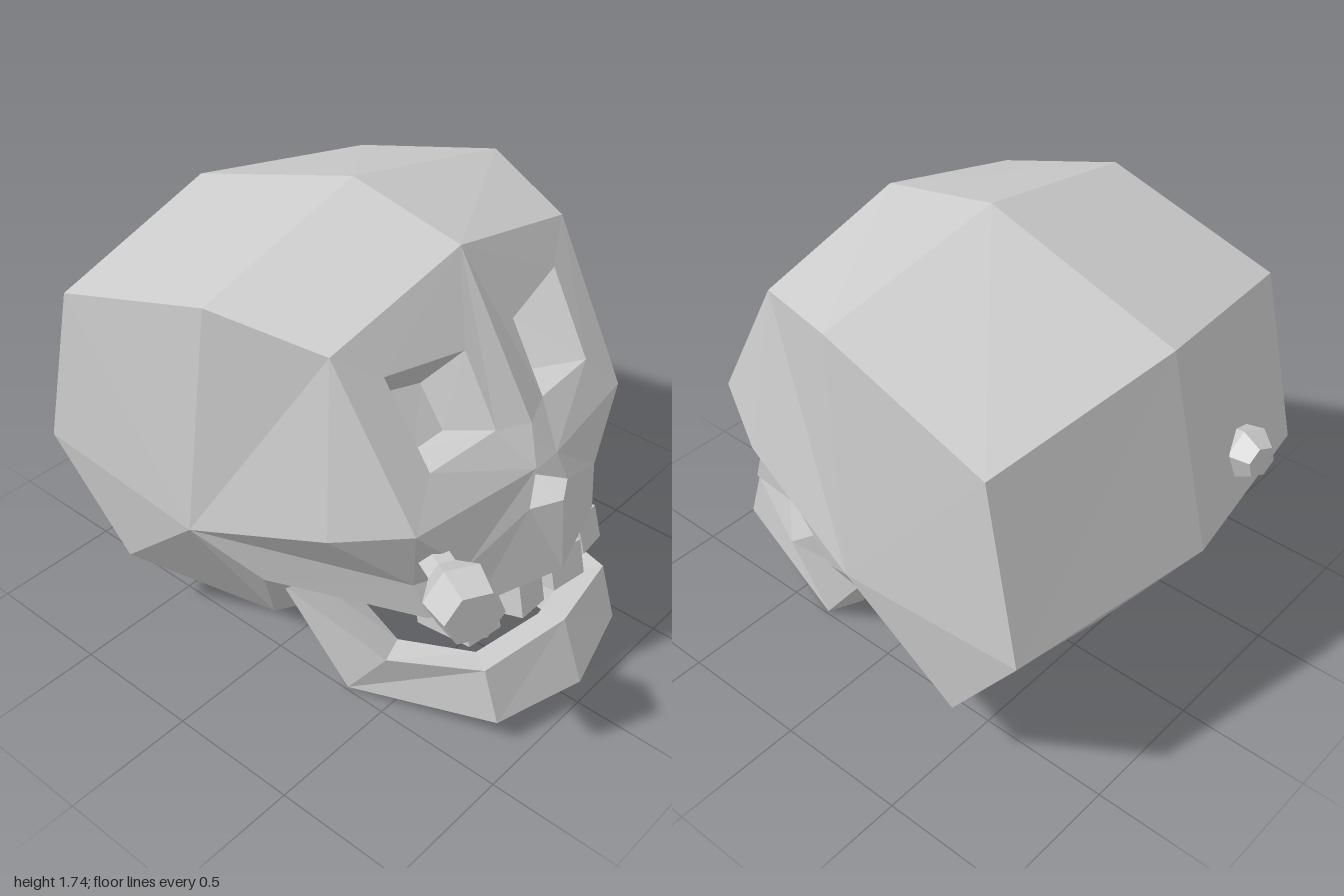
import * as THREE from 'three';

const bone = new THREE.MeshStandardMaterial({ color: 0xcccccc, flatShading: true });
bone.name = 'bone grey';

// Fans each polygon (left half) into triangles and adds its mirror image.
function mirrored(name, polygons) {
  const out = [];
  for (const p of polygons) {
    for (let i = 1; i < p.length - 1; i++) {
      const tri = [p[0], p[i], p[i + 1]];
      for (const v of tri) out.push(...v);
      for (const v of [tri[0], tri[2], tri[1]]) out.push(-v[0], v[1], v[2]);
    }
  }
  const g = new THREE.BufferGeometry();
  g.setAttribute('position', new THREE.Float32BufferAttribute(out, 3));
  g.computeVertexNormals();
  const m = new THREE.Mesh(g, bone);
  m.name = name;
  return m;
}

// Walls and floor of a socket between an opening and its inner loop.
function socket(open, inner) {
  const walls = open.map((p, i) => {
    const j = (i + 1) % open.length;
    return [p, open[j], inner[j], inner[i]];
  });
  return [...walls, inner];
}

function cranium() {
  // Centre line and side ring, from the brow over the top and back to the base
  const centre = [[0, 1.65, 0.39], [0, 1.74, -0.07], [0, 1.5, -0.82], [0, 0.78, -1], [0, 0.19, -0.6], [0, 0, -0.26]];
  const side = [[0.6, 1.51, 0.37], [0.737, 1.585, -0.03], [0.757, 1.38, -0.7], [0.78, 0.73, -0.85], [0.735, 0.295, -0.54], [0.38, 0, -0.15]];
  const brow = centre[0], browSide = side[0], base = centre[5], baseSide = side[5];
  const temple = [0.79, 0.685, -0.12], cheek = [0.69, 0.875, 0.43], cheekFront = [0.563, 0.96, 0.69];
  const cheekLow = [0.465, 0.645, 0.605], jawHinge = [0.66, 0.5, 0.1];
  // Upper jaw
  const lip = [0, 0.57, 0.88], lipSide = [0.34, 0.57, 0.77], lipUp = [0.365, 0.74, 0.745], lipBack = [0.425, 0.49, 0.64];
  const palate = [0, 0.375, 0.4], palateSide = [0.2, 0.375, 0.4];
  // Nose opening
  const noseTop = [0, 1.105, 0.71], noseMid = [0.057, 0.985, 0.78], noseSide = [0.108, 0.855, 0.8], noseBase = [0, 0.86, 0.86];
  const inTop = [0, 1.03, 0.66], inSide = [0.055, 0.85, 0.69], inBase = [0, 0.85, 0.69];
  // Eye opening: inner top, inner bottom, outer bottom, outer top
  const eye = [[0.127, 1.37, 0.52], [0.127, 1.12, 0.66], [0.427, 1.105, 0.63], [0.447, 1.4, 0.455]];
  const eyeIn = [[0.177, 1.205, 0.38], [0.177, 1.06, 0.48], [0.31, 1.05, 0.47], [0.32, 1.23, 0.35]];
  const [eIT, eIB, eOB, eOT] = eye;

  const faces = [
    // face
    [brow, eIT, eOT], [brow, eOT, browSide], [browSide, eOT, eOB, cheekFront], [brow, noseTop, eIB, eIT],
    [noseMid, cheekFront, eOB, eIB, noseTop], [noseMid, noseSide, lipUp, cheekFront],
    [noseSide, noseBase, lip, lipSide, lipUp], [cheekFront, lipUp, cheekLow], [lipUp, lipSide, lipBack, cheekLow],
    // cheekbone and temple
    [cheekFront, cheekLow, cheek], [cheek, cheekLow, temple], [cheekLow, lipBack, jawHinge], [cheekLow, jawHinge, temple],
    [temple, jawHinge, baseSide], [browSide, cheekFront, cheek], [temple, browSide, cheek],
    // underside
    [lip, palate, palateSide, lipSide], [palateSide, lipBack, lipSide], [palateSide, jawHinge, lipBack],
    [palateSide, baseSide, jawHinge], [palate, base, baseSide, palateSide],
    // nose cavity
    [noseBase, noseSide, inSide, inBase], [noseSide, noseMid, inSide], [noseMid, noseTop, inTop, inSide], [inTop, inBase, inSide],
    ...socket(eye, eyeIn),
  ];
  // Crown strip and side fan
  for (let i = 0; i < 5; i++) {
    faces.push([centre[i], side[i], side[i + 1], centre[i + 1]]);
    faces.push([temple, side[i + 1], side[i]]);
  }
  return mirrored('cranium', faces);
}

function lowerJaw() {
  // Sections from chin to hinge: outer top, outer bottom, inner bottom, inner top
  const s = [
    [[0, 0.35, 0.91], [0, 0.105, 1], [0, 0.04, 0.83], [0, 0.31, 0.8]],
    [[0.355, 0.318, 0.835], [0.355, 0.11, 0.9], [0.23, 0.07, 0.72], [0.28, 0.29, 0.74]],
    [[0.49, 0.255, 0.51], [0.49, 0, 0.33], [0.36, 0, 0.27], [0.38, 0.25, 0.47]],
    [[0.54, 0.49, 0.25], [0.53, 0.36, 0.06], [0.42, 0.33, 0.07], [0.4, 0.42, 0.22]],
  ];
  const faces = [s[3]];
  for (let i = 0; i < 3; i++) {
    for (let j = 0; j < 4; j++) {
      const k = (j + 1) % 4;
      faces.push([s[i][j], s[i][k], s[i + 1][k], s[i + 1][j]]);
    }
  }
  return mirrored('lowerJaw', faces);
}

// Six-sided knob turned around an axis pointing along dir
function knob(name, profile, position, dir) {
  const g = new THREE.LatheGeometry(profile.map(([r, y]) => new THREE.Vector2(r, y)), 6);
  const m = new THREE.Mesh(g, bone);
  m.name = name;
  m.position.set(...position);
  m.quaternion.setFromUnitVectors(new THREE.Vector3(0, 1, 0), new THREE.Vector3(...dir).normalize());
  return m;
}

export function createModel() {
  const model = new THREE.Group();
  model.name = 'skull';
  model.add(cranium(), lowerJaw());

  // Crooked upper teeth: x, y, z, width, yaw, roll
  const teeth = new THREE.Group();
  teeth.name = 'upperTeeth';
  [
    [-0.285, 0.445, 0.65, 0.15, -0.12, -0.05],
    [-0.105, 0.46, 0.7, 0.14, 0.1, -0.1],
    [0.137, 0.44, 0.7, 0.155, -0.12, -0.06],
    [0.335, 0.425, 0.64, 0.125, 0.1, 0.03],
  ].forEach(([x, y, z, w, yaw, roll], i) => {
    const t = new THREE.Mesh(new THREE.BoxGeometry(w, 0.135, 0.26), bone);
    t.name = 'tooth' + (i + 1);
    t.position.set(x, y, z);
    t.rotation.set(-0.26, yaw, roll);
    teeth.add(t);
  });
  model.add(teeth);

  // Small bone stuck through the head: front and back ends
  model.add(
    knob('boneFrontEnd', [[0.06, -0.4], [0.06, -0.2], [0.125, -0.1], [0.105, 0.02], [0, 0.02]], [-0.575, 0.795, 0.93], [-0.45, 0, 0.9]),
    knob('boneBackEnd', [[0.06, -0.15], [0.1, -0.01], [0.06, 0.06], [0, 0.06]], [-0.365, 0.93, -0.925], [0.25, 0.05, -1]),
  );
  return model;
}
